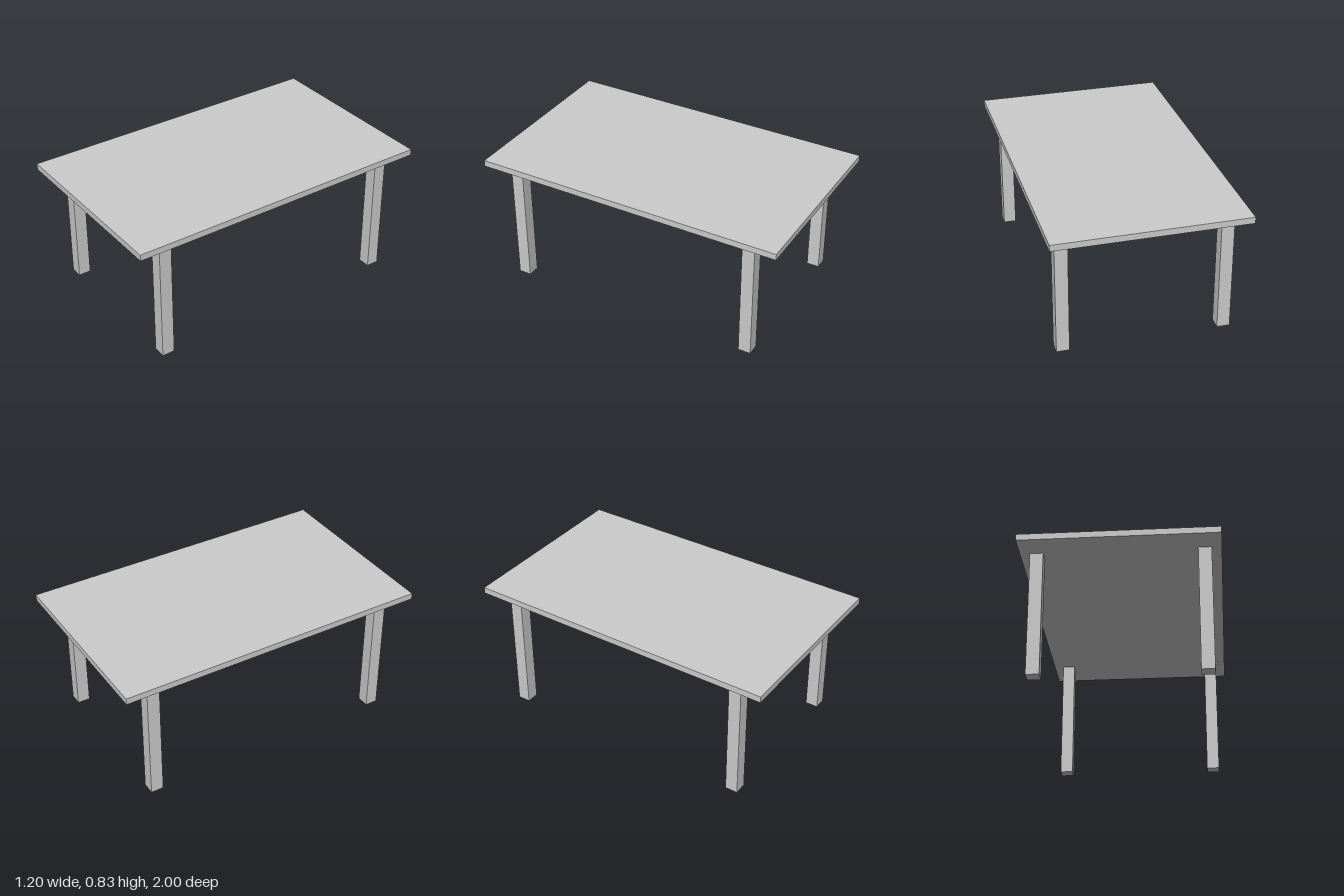
import * as THREE from 'three';

export function createModel() {
  const table = new THREE.Group();
  table.name = 'table';
  const material = new THREE.MeshStandardMaterial({ color: 0xcccccc });
  const legHeight = 0.79, legWidth = 0.08, topThickness = 0.04;

  // Flat slab resting on the legs
  const top = new THREE.Mesh(new THREE.BoxGeometry(1.2, topThickness, 2), material);
  top.name = 'tableTop';
  top.position.y = legHeight + topThickness / 2;
  table.add(top);

  // Four square legs, inset from the corners
  const legGeometry = new THREE.BoxGeometry(legWidth, legHeight, legWidth);
  for (const [end, z] of [['front', 0.8], ['back', -0.8]]) {
    for (const [side, x] of [['Left', 0.5], ['Right', -0.5]]) {
      const leg = new THREE.Mesh(legGeometry, material);
      leg.name = `${end}${side}Leg`;
      leg.position.set(x, legHeight / 2, z);
      table.add(leg);
    }
  }
  return table;
}
